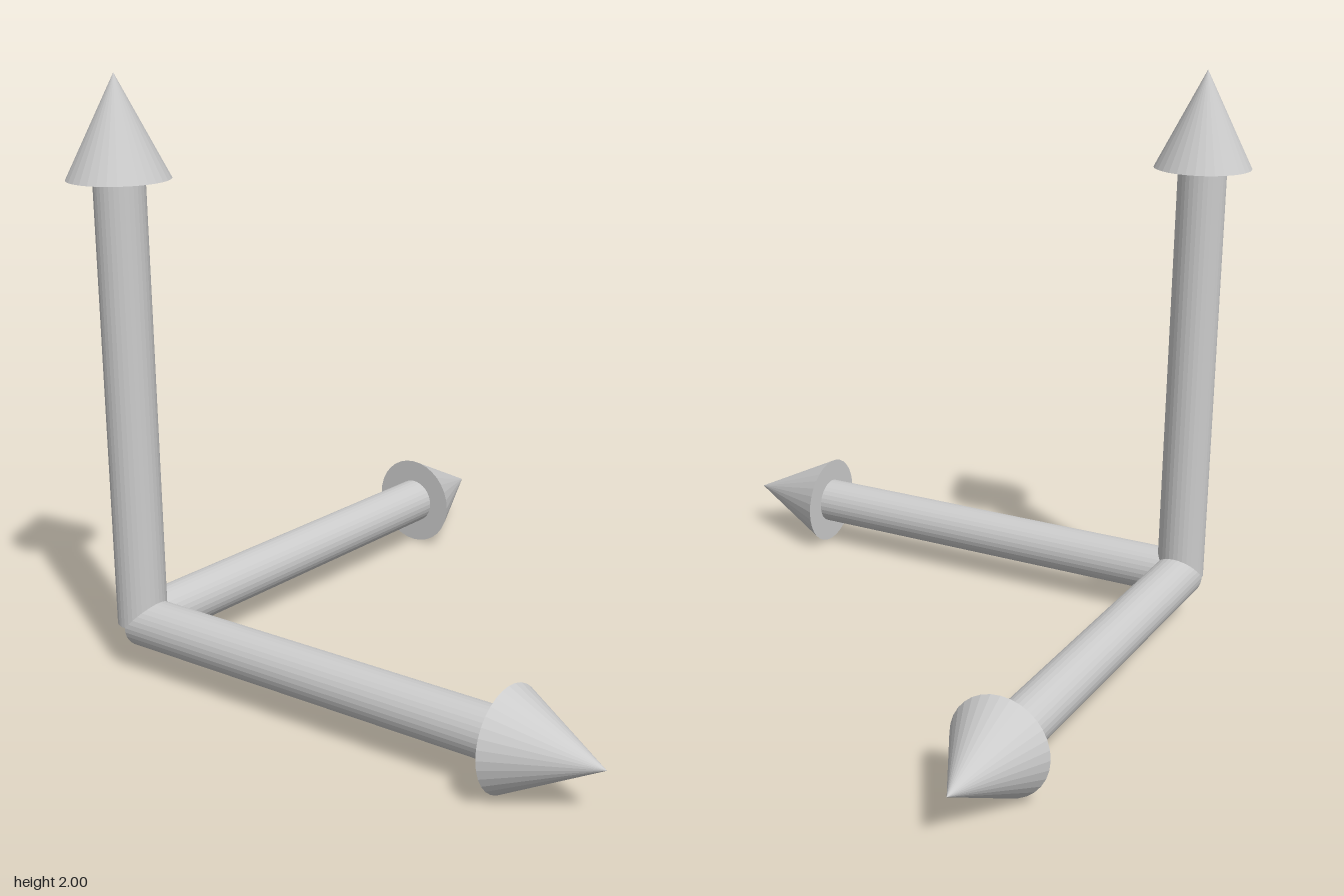
import * as THREE from 'three';

const SIDES = 32;
const SHAFT_RADIUS = 1 / 12, SHAFT_LENGTH = 1.5;
const HEAD_RADIUS = 1 / 6, HEAD_LENGTH = 1 / 3;

export function createModel() {
  const model = new THREE.Group();
  model.name = 'axisArrows';
  const material = new THREE.MeshStandardMaterial({ color: 0xcccccc, flatShading: true });

  // Shaft and head are modelled along +y, starting at the shared corner
  const shaftGeometry = new THREE.CylinderGeometry(SHAFT_RADIUS, SHAFT_RADIUS, SHAFT_LENGTH, SIDES)
    .translate(0, SHAFT_LENGTH / 2, 0);
  const headGeometry = new THREE.ConeGeometry(HEAD_RADIUS, HEAD_LENGTH, SIDES)
    .translate(0, SHAFT_LENGTH + HEAD_LENGTH / 2, 0);

  const addArrow = (name, rx, rz) => {
    const arrow = new THREE.Group();
    arrow.name = name;
    const shaft = new THREE.Mesh(shaftGeometry, material);
    shaft.name = 'shaft';
    const head = new THREE.Mesh(headGeometry, material);
    head.name = 'arrowHead';
    arrow.add(shaft, head);
    arrow.rotation.set(rx, 0, rz);
    model.add(arrow);
  };

  // One arrow per axis
  addArrow('upArrow', 0, 0);
  addArrow('sideArrow', 0, -Math.PI / 2);
  addArrow('frontArrow', Math.PI / 2, 0);

  // Put the corner where the whole model is centred and on the ground
  model.position.set(HEAD_RADIUS - 1, HEAD_RADIUS, HEAD_RADIUS - 1);
  return model;
}
